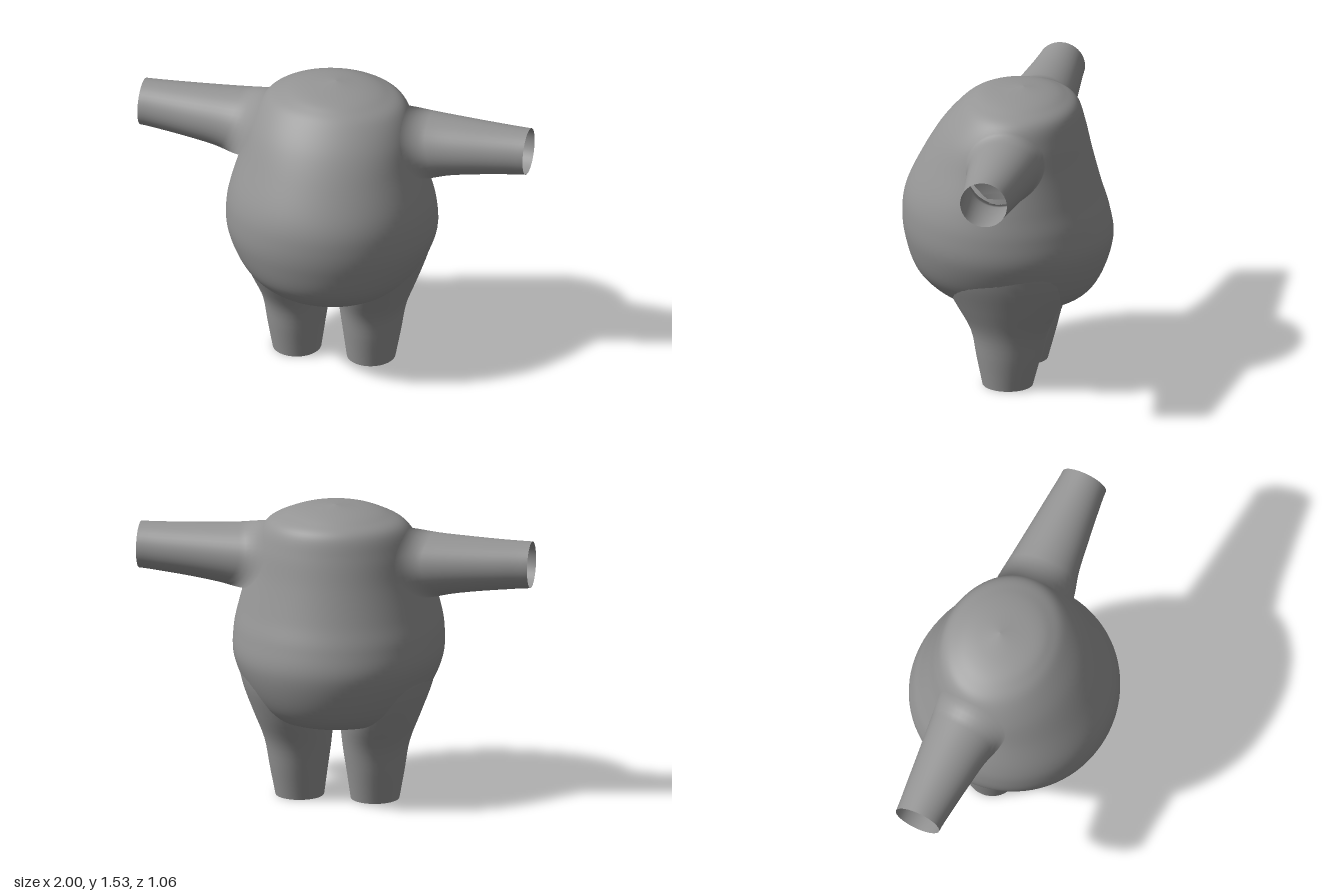
import * as THREE from 'three';

const material = new THREE.MeshStandardMaterial({ color: 0x959595, side: THREE.DoubleSide });

// Smooth (Catmull-Rom) sample of a table of rows, t in 0..1
function sample(rows, t) {
  const n = rows.length - 1;
  const i = Math.min(Math.floor(t * n), n - 1);
  const f = t * n - i;
  const row = (k) => rows[Math.max(0, Math.min(n, k))];
  return rows[i].map((p1, c) => {
    const p0 = row(i - 1)[c], p2 = row(i + 1)[c], p3 = row(i + 2)[c];
    const m1 = (p2 - p0) / 2, m2 = (p3 - p1) / 2;
    return p1 + m1 * f + (3 * (p2 - p1) - 2 * m1 - m2) * f * f + (2 * (p1 - p2) + m1 + m2) * f * f * f;
  });
}

// Skin of rings; point(t, angle) gives a vertex, triangles wholly inside a hole are left out
function loft(name, rings, sides, point, inHole = () => false) {
  const verts = [], index = [];
  for (let i = 0; i <= rings; i++)
    for (let j = 0; j < sides; j++) verts.push(point(i / rings, (j / sides) * Math.PI * 2));
  const add = (...tri) => { if (!tri.every((k) => inHole(verts[k]))) index.push(...tri); };
  for (let i = 0; i < rings; i++)
    for (let j = 0; j < sides; j++) {
      const a = i * sides + j, b = i * sides + ((j + 1) % sides);
      add(a, b, a + sides);
      add(b, b + sides, a + sides);
    }
  const geometry = new THREE.BufferGeometry().setFromPoints(verts);
  geometry.setIndex(index);
  geometry.computeVertexNormals();
  const mesh = new THREE.Mesh(geometry, material);
  mesh.name = name;
  return mesh;
}

// Torso rings: y, half width, front z, back z
const torso = [
  [1.53, 0, -0.08, -0.08],
  [1.51, 0.16, 0.1, -0.21],
  [1.48, 0.265, 0.18, -0.29],
  [1.43, 0.355, 0.245, -0.355],
  [1.32, 0.415, 0.34, -0.39],
  [1.17, 0.455, 0.43, -0.425],
  [1.0, 0.505, 0.51, -0.47],
  [0.87, 0.53, 0.53, -0.51],
  [0.73, 0.525, 0.515, -0.53],
  [0.57, 0.455, 0.46, -0.485],
  [0.46, 0.36, 0.345, -0.41],
  [0.42, 0.25, 0.22, -0.3],
  [0.41, 0, -0.04, -0.04],
];
// Leg rings, evenly spaced in height: y, inner x, outer x, front z, back z
const leg = [
  [0.75, 0.11, 0.512, 0.31, -0.36],
  [0.6, 0.05, 0.478, 0.29, -0.36],
  [0.45, 0.022, 0.424, 0.225, -0.315],
  [0.3, 0.03, 0.368, 0.15, -0.245],
  [0.15, 0.05, 0.342, 0.12, -0.205],
  [0, 0.07, 0.315, 0.09, -0.165],
];
// Sleeve rings from shoulder to cuff: top y, bottom y, front z, back z
const arm = [
  [1.415, 1.07, 0.135, -0.26],
  [1.402, 1.1, 0.1, -0.243],
  [1.394, 1.121, 0.079, -0.226],
  [1.388, 1.137, 0.06, -0.21],
  [1.385, 1.15, 0.045, -0.195],
];

// Half width of the torso surface at a given height and depth
function torsoX(y, z) {
  let lo = 0, hi = 1;
  for (let k = 0; k < 30; k++) {
    const mid = (lo + hi) / 2;
    if (sample(torso, mid)[0] > y) lo = mid; else hi = mid;
  }
  const [, w, f, b] = sample(torso, lo);
  const s = (z - (f + b) / 2) / ((f - b) / 2);
  return w * Math.sqrt(Math.max(0, 1 - s * s));
}

// Turn the normals near the sleeve root towards the torso's, so the shoulder shades as one skin
function blendShoulder(mesh, s, rings, sides) {
  const { position, normal } = mesh.geometry.attributes;
  const n = new THREE.Vector3(), e = 0.01;
  for (let k = 0; k < sides * 4; k++) {
    const y = position.getY(k), z = position.getZ(k);
    const skin = new THREE.Vector3(
      s,
      (torsoX(y - e, z) - torsoX(y + e, z)) / (2 * e),
      (torsoX(y, z - e) - torsoX(y, z + e)) / (2 * e)).normalize();
    n.fromBufferAttribute(normal, k).lerp(skin, 1 - Math.floor(k / sides) / 4).normalize();
    normal.setXYZ(k, n.x, n.y, n.z);
  }
  return mesh;
}

const inEllipse = (u, v, u0, u1, v0, v1) =>
  ((2 * u - u0 - u1) / (u1 - u0)) ** 2 + ((2 * v - v0 - v1) / (v1 - v0)) ** 2 < 0.92;

// Openings where the sleeves and legs join the hollow torso
function inLimb(p) {
  const [top, bottom, af, ab] = arm[0];
  if (Math.abs(p.x) > 0.2 && inEllipse(p.y, p.z, bottom, top, ab, af)) return true;
  if (p.y > 0.6) return false;
  const [, x0, x1, f, b] = sample(leg, 1 - p.y / leg[0][0]);
  return inEllipse(Math.abs(p.x), p.z, x0, x1, b, f);
}

export function createModel() {
  const group = new THREE.Group();
  group.name = 'bodySuit';

  group.add(loft('torso', 84, 80, (t, a) => {
    const [y, w, f, b] = sample(torso, t);
    return new THREE.Vector3(w * Math.cos(a), y, (f + b) / 2 + ((f - b) / 2) * Math.sin(a));
  }, inLimb));

  for (const [side, s] of [['left', 1], ['right', -1]]) {
    // Open sleeve whose root follows the torso surface
    const sleeve = loft(side + 'Arm', 20, 40, (t, a) => {
      const at = (row) => [
        (row[0] + row[1]) / 2 + ((row[0] - row[1]) / 2) * Math.cos(a),
        (row[2] + row[3]) / 2 + ((row[2] - row[3]) / 2) * Math.sin(a) * s,
      ];
      const root = torsoX(...at(arm[0])) - 0.005;
      const [y, z] = at(sample(arm, t));
      return new THREE.Vector3(s * (root + (1 - root) * t), y, z);
    });
    group.add(blendShoulder(sleeve, s, 20, 40));

    // Open trouser leg, flaring into the hip
    group.add(loft(side + 'Leg', 20, 40, (t, a) => {
      const [y, x0, x1, f, b] = sample(leg, t);
      return new THREE.Vector3(
        (s * (x0 + x1)) / 2 + ((x1 - x0) / 2) * Math.cos(a), y,
        (f + b) / 2 + ((f - b) / 2) * Math.sin(a));
    }));
  }
  return group;
}
